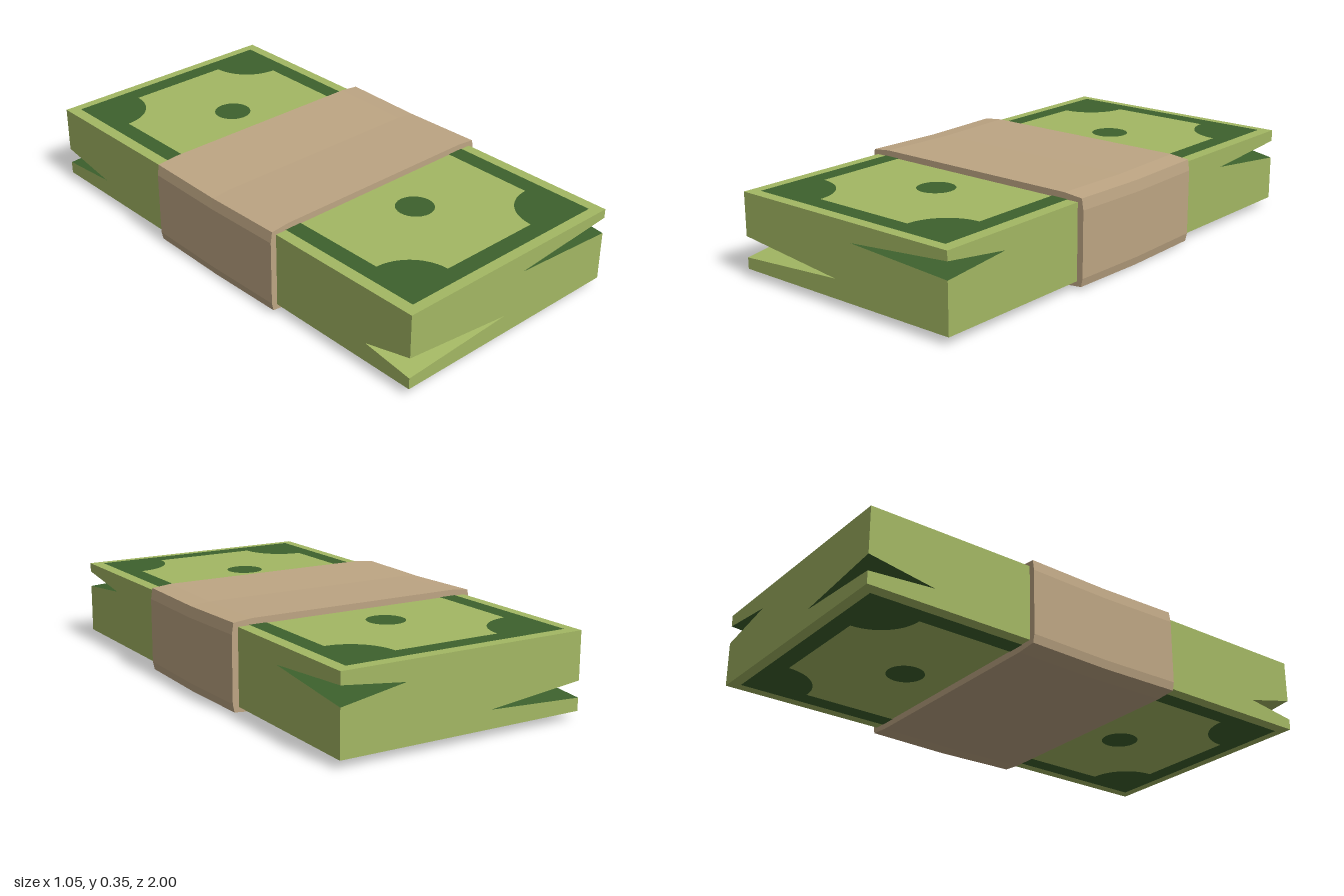
import * as THREE from 'three';

const W = 0.5, D = 1, BOTTOM = 0.031, TOP = 0.326;

export function createModel() {
  const mat = (name, hex) => {
    const m = new THREE.MeshStandardMaterial({ color: hex });
    m.name = name;
    return m;
  };
  const paper = mat('paperGreen', 0xa3b763);
  const ink = mat('inkGreen', 0x3d612d);
  const kraft = mat('kraftBand', 0xbda583);

  const group = new THREE.Group();
  group.name = 'banknoteBundle';
  const add = (name, geometry, material) => {
    const mesh = new THREE.Mesh(geometry, material);
    mesh.name = name;
    group.add(mesh);
    return mesh;
  };
  const v = (x, y, z) => new THREE.Vector3(x, y, z);
  const facets = (points) => {
    const g = new THREE.BufferGeometry().setFromPoints(points);
    g.computeVertexNormals();
    return g;
  };

  // Corner gaps: lower and upper height, and where the gap closes on each wall
  const gap = (sx, sz, y0, y1, endX, endZ, endY, material) => ({
    sx, sz, material,
    low: v(sx * W, y0, sz * D),
    high: v(sx * W, y1, sz * D),
    onZ: v(endX, endY, sz * D),
    onX: v(sx * W, endY, endZ),
  });
  const frontLeft = gap(1, 1, 0.225, 0.29, 0.05, 0.72, 0.252, ink);
  const backLeft = gap(1, -1, 0.207, 0.28, 0.245, -0.6, 0.252, ink);
  const backRight = gap(-1, -1, 0.08, 0.143, -0.105, -0.736, 0.1, ink);
  const frontRight = gap(-1, 1, 0.075, 0.157, -0.03, 0.79, 0.105, paper);

  // Stack walls, each given its corners as seen from outside: left, right
  const wall = (l, r, end) => {
    const at = (c, y) => v(c.sx * W, y, c.sz * D);
    const ring = [
      at(l, BOTTOM), at(r, BOTTOM), r.low, r[end], r.high,
      at(r, TOP), at(l, TOP), l.high, l[end], l.low,
    ];
    const along = at(r, 0).sub(at(l, 0)).normalize();
    const flat = ring.map((p) => new THREE.Vector2(v(p.x, 0, p.z).dot(along), p.y));
    return THREE.ShapeUtils.triangulateShape(flat, []).flat().map((i) => ring[i]);
  };
  const quad = (a, b, c, d) => [a, b, c, a, c, d];
  add('noteStack', facets([
    ...wall(frontRight, frontLeft, 'onZ'),
    ...wall(frontLeft, backLeft, 'onX'),
    ...wall(backLeft, backRight, 'onZ'),
    ...wall(backRight, frontRight, 'onX'),
    ...quad(v(-W, TOP, D), v(W, TOP, D), v(W, TOP, -D), v(-W, TOP, -D)),
    ...quad(v(-W, BOTTOM, -D), v(W, BOTTOM, -D), v(W, BOTTOM, D), v(-W, BOTTOM, D)),
  ]), paper);

  // Sloping faces inside the corner gaps
  for (const c of [frontLeft, backLeft, backRight, frontRight]) {
    const [a, b] = c.sx * c.sz > 0 ? [c.onX, c.onZ] : [c.onZ, c.onX];
    add('cornerGap', facets([c.low, a, b, c.high, b, a]), c.material);
  }

  // Printed border with scooped inner corners, and a round dot at each end
  const ox = 0.455, oz = 0.96, ix = 0.385, iz = 0.89, r = 0.17;
  const border = new THREE.Shape();
  border.moveTo(-ox, -oz).lineTo(ox, -oz).lineTo(ox, oz).lineTo(-ox, oz).closePath();
  const inner = new THREE.Path();
  const H = Math.PI / 2;
  inner.absarc(ix, iz, r, 3 * H, 2 * H, true);
  inner.absarc(-ix, iz, r, 0, -H, true);
  inner.absarc(-ix, -iz, r, H, 0, true);
  inner.absarc(ix, -iz, r, 2 * H, H, true);
  inner.closePath();
  border.holes.push(inner);
  const borderGeometry = new THREE.ShapeGeometry(border, 10);
  const dotGeometry = new THREE.CircleGeometry(0.073, 28);

  for (const [side, y, turn] of [['top', TOP + 0.002, -H], ['bottom', BOTTOM - 0.002, H]]) {
    const frame = add(side + 'Border', borderGeometry, ink);
    frame.rotation.x = turn;
    frame.position.y = y;
    for (const s of [-1, 1]) {
      const dot = add(side + 'Dot', dotGeometry, ink);
      dot.rotation.x = turn;
      dot.position.set(0, y, s * 0.525);
    }
  }

  // Paper band with softened corners, sagging slightly at mid-width
  const corner = [[0.525, 0.045], [0.525, 0.3], [0.518, 0.343], [0.44, 0.351]];
  const half = [[0.44, 0.006], [0.518, 0.013], ...corner];
  const outline = [...half, ...half.map(([x, y]) => [-x, y]).reverse()];
  const bandShape = new THREE.Shape(outline.map(([x, y]) => new THREE.Vector2(x, y)));
  const band = new THREE.ExtrudeGeometry(bandShape, { depth: 0.666, steps: 6, bevelEnabled: false });
  band.translate(0, 0, -0.333);
  const p = band.attributes.position;
  for (let i = 0; i < p.count; i++) {
    p.setY(i, p.getY(i) - 0.006 * (1 - Math.abs(p.getZ(i)) / 0.333));
  }
  band.computeVertexNormals();
  add('paperBand', band, kraft);

  return group;
}
